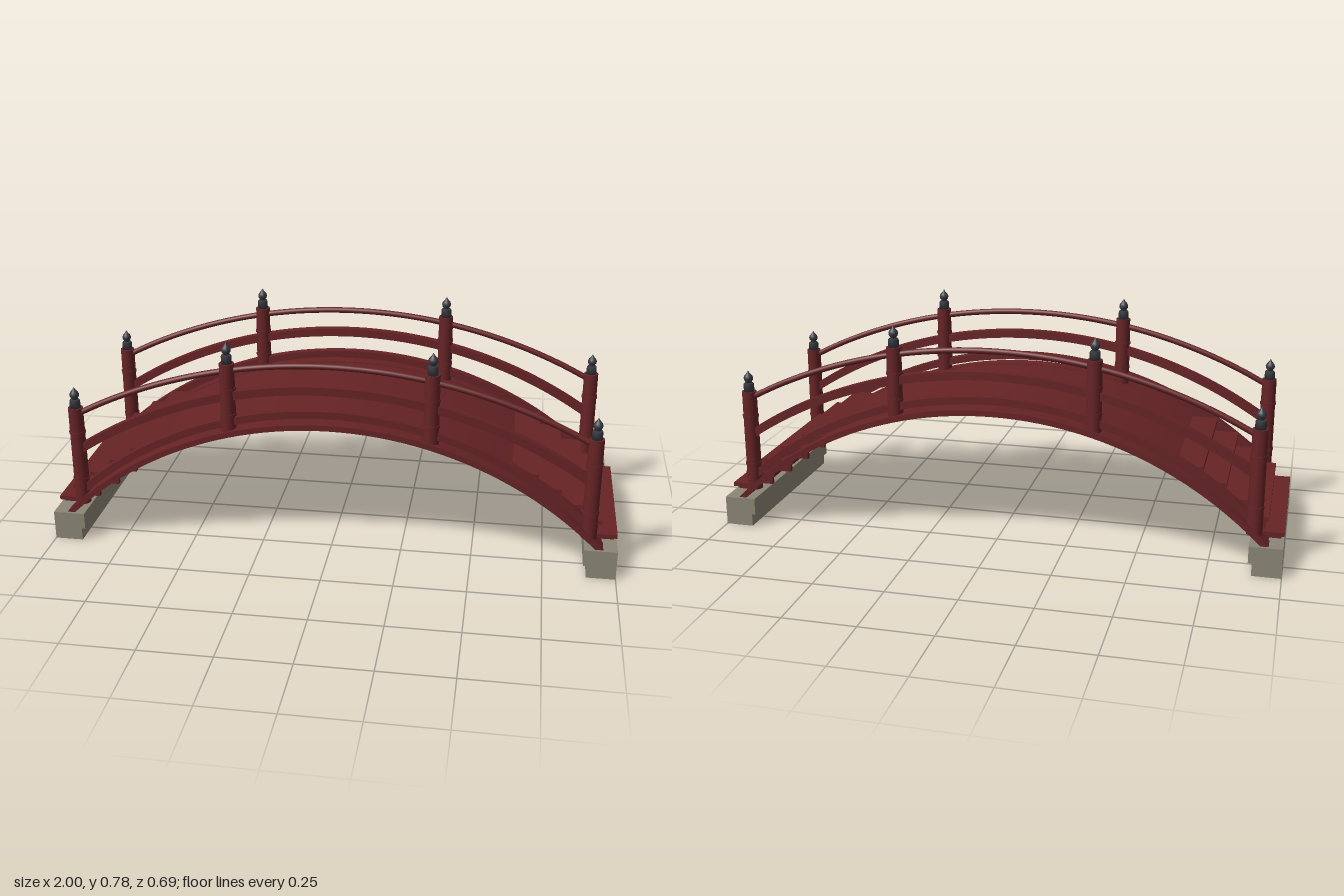
import * as THREE from 'three';

const red = new THREE.MeshStandardMaterial({ color: 0x662325 });
red.name = 'red lacquer';
const stone = new THREE.MeshStandardMaterial({ color: 0x8c8677 });
stone.name = 'stone';
const iron = new THREE.MeshStandardMaterial({ color: 0x373a41 });
iron.name = 'dark iron';

function add(parent, name, geometry, material, x = 0, y = 0, z = 0) {
  const mesh = new THREE.Mesh(geometry, material);
  mesh.name = name;
  mesh.position.set(x, y, z);
  parent.add(mesh);
  return mesh;
}

// Height of a circular arch with the given crown and radius
const archY = (x, crown, radius) => crown - radius + Math.sqrt(radius * radius - x * x);

// Curved beam: an arch of even thickness, width measured along z
function archBeam(crown, radius, thickness, halfSpan, width) {
  const end = Math.asin(halfSpan / radius);
  const n = 48;
  const shape = new THREE.Shape();
  const point = (i, r) => {
    const a = -end + (2 * end * i) / n;
    return [r * Math.sin(a), crown - radius + r * Math.cos(a)];
  };
  shape.moveTo(...point(0, radius));
  for (let i = 1; i <= n; i++) shape.lineTo(...point(i, radius));
  for (let i = n; i >= 0; i--) shape.lineTo(...point(i, radius - thickness));
  const g = new THREE.ExtrudeGeometry(shape, { depth: width, bevelEnabled: false });
  g.translate(0, 0, -width / 2);
  return g;
}

// Round handrail following an arch
function handrail(crown, radius, halfSpan, r) {
  const pts = [];
  for (let i = 0; i <= 16; i++) {
    const x = -halfSpan + (2 * halfSpan * i) / 16;
    pts.push(new THREE.Vector3(x, archY(x, crown, radius), 0));
  }
  return new THREE.TubeGeometry(new THREE.CatmullRomCurve3(pts), 64, r, 10);
}

// Post with two raised bands and a bulb-shaped cap
function post(base, top, bands) {
  const g = new THREE.Group();
  g.name = 'post';
  add(g, 'postShaft', new THREE.CylinderGeometry(0.026, 0.027, top - base, 20), red, 0, (top + base) / 2);
  for (const y of bands) {
    add(g, 'postBand', new THREE.CylinderGeometry(0.029, 0.029, 0.008, 20), red, 0, y);
  }
  const collar = [[0, 0], [0.019, 0], [0.018, 0.027], [0.015, 0.031], [0, 0.031]];
  const bulb = [[0.010, 0.029], [0.010, 0.034], [0.015, 0.041], [0.017, 0.049],
    [0.014, 0.057], [0.007, 0.065], [0.003, 0.071], [0, 0.077]];
  const lathe = (p) => new THREE.LatheGeometry(p.map((q) => new THREE.Vector2(...q)), 16);
  add(g, 'capCollar', lathe(collar), iron, 0, top);
  add(g, 'capBulb', lathe(bulb), iron, 0, top);
  return g;
}

export function createModel() {
  const model = new THREE.Group();
  model.name = 'archedBridge';
  const R = 1.332;

  // Deck
  add(model, 'deck', archBeam(0.502, R, 0.013, 0.955, 0.57), red);

  // Edge beams, rails and posts on both sides
  for (const side of [-1, 1]) {
    const railing = new THREE.Group();
    railing.name = side > 0 ? 'frontRailing' : 'backRailing';
    railing.position.z = side * 0.3;
    model.add(railing);
    add(railing, 'edgeBeam', archBeam(0.505, R, 0.02, 0.955, 0.055), red, 0, 0, side * 0.0075);
    add(railing, 'lowerRail', archBeam(0.547, R, 0.026, 0.905, 0.03), red);
    add(railing, 'middleRail', archBeam(0.635, 1.6, 0.029, 0.905, 0.03), red);
    add(railing, 'handrail', handrail(0.706, 1.876, 0.9, 0.0105), red);
    for (const end of [-1, 1]) {
      const tall = post(0.445, 0.7, [0.515, 0.608]);
      tall.position.x = end * 0.35;
      const low = post(0.135, 0.503, [0.232, 0.411]);
      low.position.x = end * 0.9;
      railing.add(tall, low);
    }
  }

  // Steps as [outer edge, top height, depth], with a pair of blocks under each
  const steps = [
    [0.72, 0.345, 0.095], [0.80, 0.295, 0.11], [0.88, 0.24, 0.12],
    [0.945, 0.185, 0.11], [1.0, 0.135, 0.09],
  ];
  for (const end of [-1, 1]) {
    const approach = new THREE.Group();
    approach.name = end > 0 ? 'leftApproach' : 'rightApproach';
    model.add(approach);
    steps.forEach(([edge, top, depth], i) => {
      const x = end * (edge - depth / 2);
      add(approach, 'tread', new THREE.BoxGeometry(depth, 0.014, 0.55), red, x, top - 0.007);
      const h = i === 4 ? 0.016 : 0.038;
      for (const side of [-1, 1]) {
        add(approach, 'treadBlock', new THREE.BoxGeometry(depth - 0.03, h, 0.016), red,
          x + end * 0.005, top - 0.014 - h / 2, side * 0.244);
      }
    });
    // Stone footing with a shallow inner ledge
    add(approach, 'footingBase', new THREE.BoxGeometry(0.1, 0.045, 0.69), stone, end * 0.95, 0.0225);
    add(approach, 'footingTop', new THREE.BoxGeometry(0.113, 0.06, 0.69), stone, end * 0.9435, 0.075);
  }
  return model;
}
